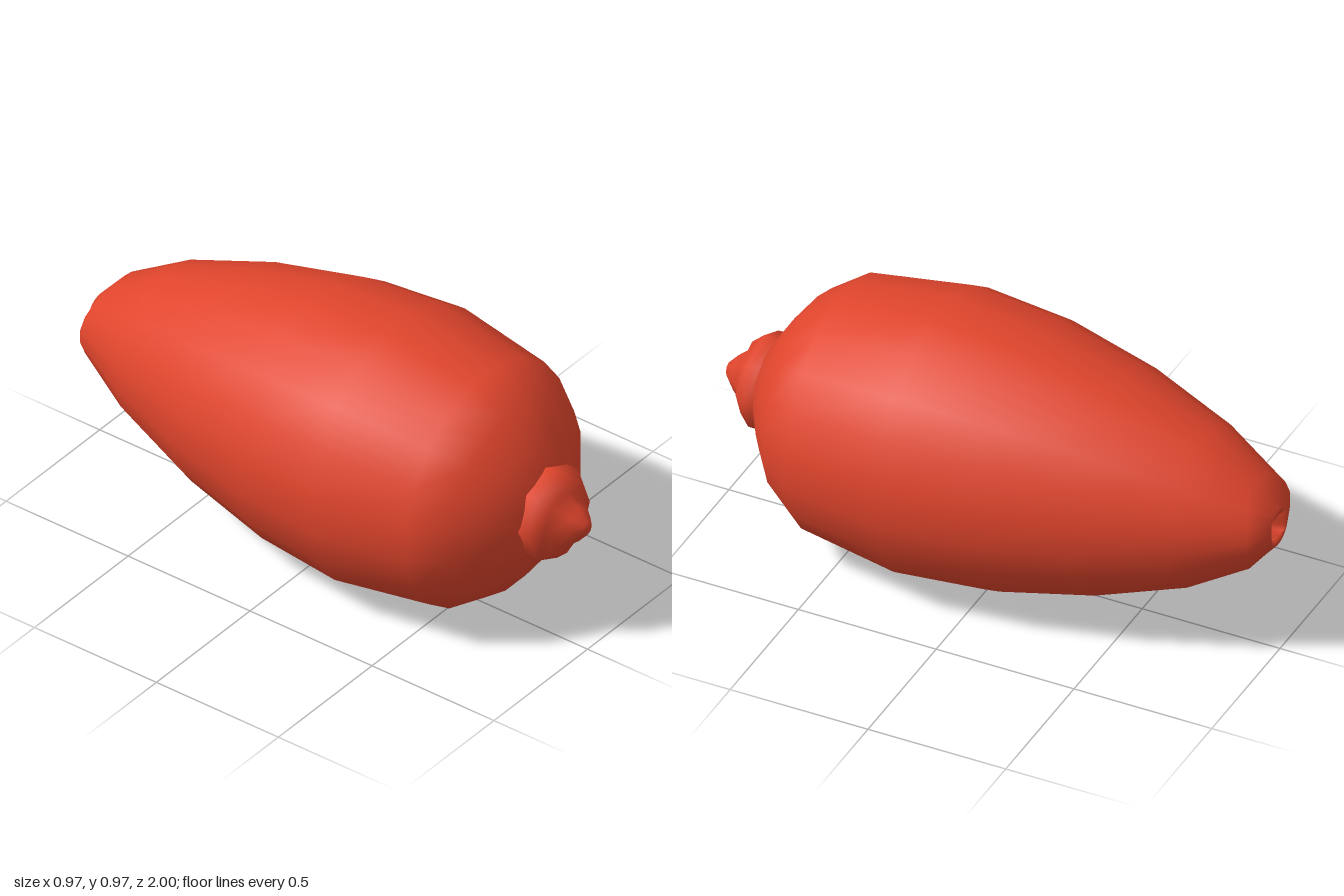
import * as THREE from 'three';
import { mergeVertices } from 'three/addons/utils/BufferGeometryUtils.js';

const CENTRE_Y = 0.485;

// Smooth surface of revolution along z; profile is [radius, z] from back to front.
function turned(name, profile, sides, phase, material, adjust) {
  const points = profile.map(([r, z]) => new THREE.Vector2(r, z));
  let geo = new THREE.LatheGeometry(points, sides, phase);
  geo.rotateX(Math.PI / 2);
  const pos = geo.attributes.position;
  const v = new THREE.Vector3();
  for (let i = 0; i < pos.count; i++) {
    v.fromBufferAttribute(pos, i);
    adjust(v);
    pos.setXYZ(i, v.x, v.y, v.z);
  }
  // Weld the seam so the shading is continuous
  geo.deleteAttribute('uv');
  geo.deleteAttribute('normal');
  geo = mergeVertices(geo, 1e-4);
  geo.computeVertexNormals();
  const mesh = new THREE.Mesh(geo, material);
  mesh.name = name;
  mesh.position.y = CENTRE_Y;
  return mesh;
}

export function createModel() {
  const group = new THREE.Group();
  group.name = 'balloon';
  const red = new THREE.MeshStandardMaterial({ color: 0xe0452c });

  // Inflated body with a small square recess in the narrow back end
  const bodyProfile = [
    [0, -0.93], [0.042, -0.935], [0.045, -0.99], [0.068, -0.995],
    [0.16, -0.96], [0.278, -0.725], [0.388, -0.415], [0.463, -0.085],
    [0.49, 0.23], [0.437, 0.585], [0.352, 0.705], [0.25, 0.78],
    [0.15, 0.84], [0, 0.86],
  ];
  group.add(turned('body', bodyProfile, 20, Math.PI / 20, red, (v) => {
    const r = Math.hypot(v.x, v.y);
    if (v.z < -0.9 && r > 1e-4) {
      if (r < 0.06) {
        // Square off the recess
        const k = (r / Math.max(Math.abs(v.x), Math.abs(v.y))) * 0.9;
        v.x *= k;
        v.y *= k;
      } else if (r > 0.1) {
        // The end rim curves back at top and bottom
        v.z += 0.045 * (v.y / r) ** 2;
      }
    }
  }));

  // Knotted neck: an octagonal collar and a blunt pointed tip
  const knotProfile = [
    [0.15, 0.79], [0.172, 0.835], [0.172, 0.875], [0.135, 0.915],
    [0.105, 0.92], [0.065, 0.965], [0.025, 1.0], [0, 1.0],
  ];
  group.add(turned('knot', knotProfile, 8, 0, red, (v) => {
    v.x *= 0.91;
  }));

  return group;
}
